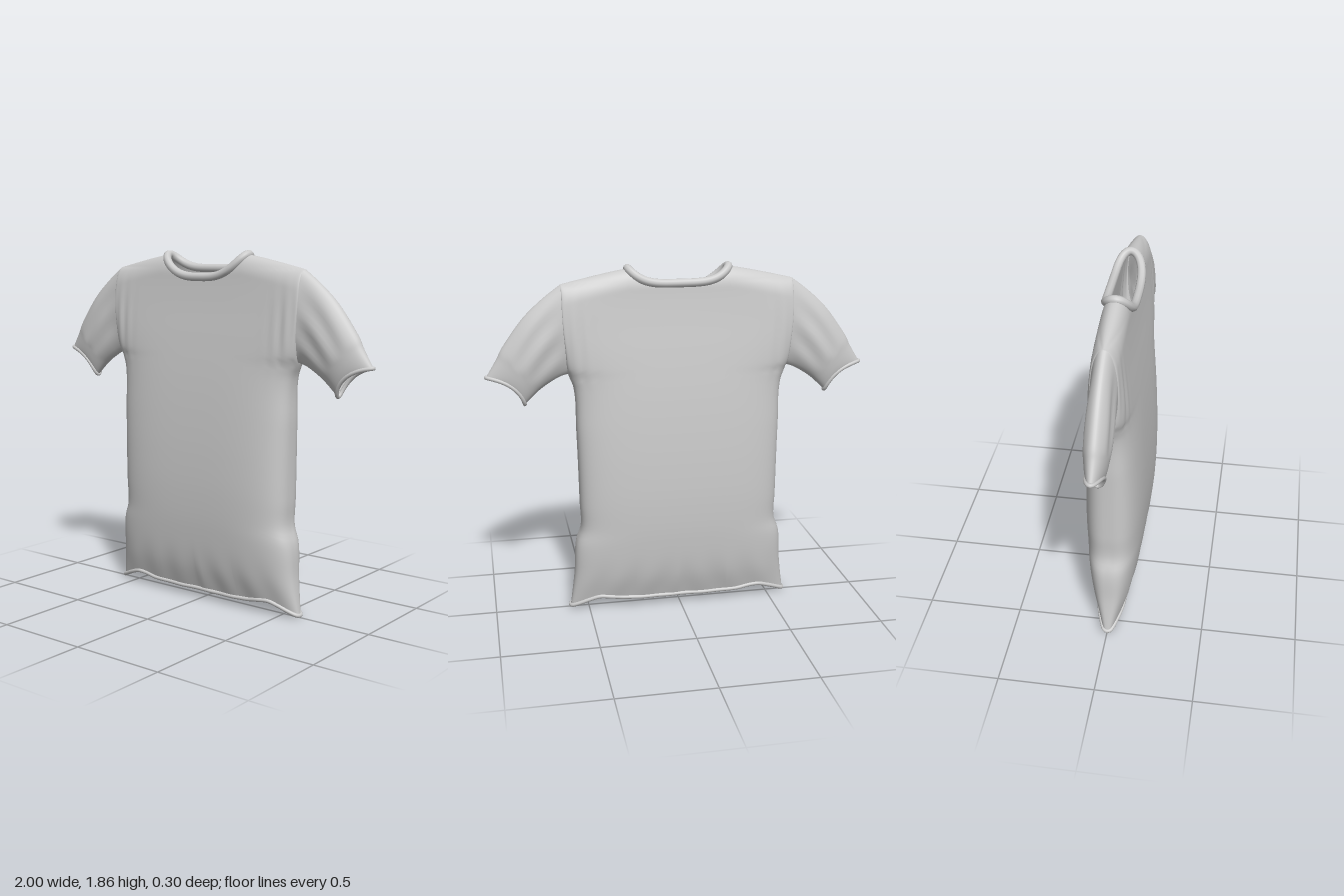
import * as THREE from 'three';
import { mergeGeometries, mergeVertices } from 'three/addons/utils/BufferGeometryUtils.js';

const cloth = new THREE.MeshStandardMaterial({ color: 0xcccccc, roughness: 0.8, side: THREE.DoubleSide });

// Smooth function through [input, output] pairs
function smooth(pairs) {
  const k = new THREE.CubicInterpolant(pairs.map(p => p[0]), pairs.map(p => p[1]), 1);
  return v => k.evaluate(THREE.MathUtils.clamp(v, pairs[0][0], pairs[pairs.length - 1][0]))[0];
}

// Surface from point(i, j), with i across and j along
function grid(point, ni, nj, flip) {
  const pos = [], idx = [];
  for (let j = 0; j <= nj; j++) for (let i = 0; i <= ni; i++) pos.push(...point(i, j));
  for (let j = 0; j < nj; j++) for (let i = 0; i < ni; i++) {
    const a = j * (ni + 1) + i, b = a + 1, c = a + ni + 1, d = c + 1;
    if (flip) idx.push(a, c, b, b, c, d);
    else idx.push(a, b, c, b, d, c);
  }
  const g = new THREE.BufferGeometry();
  g.setAttribute('position', new THREE.Float32BufferAttribute(pos, 3));
  g.setIndex(idx);
  return g;
}

function weld(parts) {
  const g = mergeVertices(mergeGeometries(parts), 1e-4);
  g.computeVertexNormals();
  return g;
}

function addMesh(group, name, geometry) {
  const m = new THREE.Mesh(geometry, cloth);
  m.name = name;
  group.add(m);
}

// Rolled edge following a closed loop of points
function rolledEdge(points, radius) {
  const path = new THREE.CatmullRomCurve3(points.map(p => new THREE.Vector3(...p)), true);
  return new THREE.TubeGeometry(path, 240, radius, 10, true);
}

// Torso measures
const NECK = 0.26, SHOULDER = 0.6, ARMPIT = 1.31, TIP = 1.77, SEAM_DEPTH = 0.065;
const halfWidth = smooth([[0, 0.6], [0.2, 0.572], [0.39, 0.557], [0.46, 0.532], [0.6, 0.533], [1, 0.54],
  [1.24, 0.55], [1.31, 0.575], [1.45, 0.59], [1.6, 0.6], [1.85, 0.6]]);
const depth = smooth([[0, 0.045], [0.06, 0.068], [0.2, 0.112], [0.4, 0.14], [0.6, 0.151], [0.8, 0.15], [1, 0.141],
  [1.2, 0.126], [1.4, 0.105], [1.6, 0.081], [1.74, 0.068], [1.86, 0.064]]);
const hem = smooth([[0, 0.058], [0.3, 0.056], [0.55, 0.062], [0.75, 0.076], [0.88, 0.048], [1, 0.014]]);
const shoulderLine = x => x < NECK ? 1.84 : 1.84 - (1.84 - TIP) * Math.pow((x - NECK) / (SHOULDER - NECK), 1.15);
const neckLine = (x, side) => side > 0
  ? 1.725 + 0.115 * Math.pow(x / NECK, 3)
  : 1.768 + 0.072 * Math.pow(x / NECK, 4);

// Point on the front (side 1) or back (side -1) panel
function torsoPoint(u, t, side) {
  const a = Math.abs(u), xTop = a * SHOULDER;
  const top = xTop < NECK - 1e-6 ? neckLine(xTop, side) : shoulderLine(xTop);
  const bottom = hem(a);
  const y = bottom + (top - bottom) * (1 - Math.pow(1 - t, 1.5));
  // Rounding over the shoulder, and the lens-shaped armhole
  const drop = THREE.MathUtils.clamp((shoulderLine(xTop) - y) / 0.1, 0, 1);
  const round = Math.sqrt(Math.max(0, 1 - (1 - drop) ** 2));
  const w = (y - (TIP + ARMPIT) / 2) / ((TIP - ARMPIT) / 2);
  const armhole = SEAM_DEPTH * Math.sqrt(Math.max(0, 1 - w * w));
  const across = Math.pow(Math.max(0, 1 - a ** 4), 0.35);
  // Soft folds rising from the hem and falling from the armhole
  const folds = across * round * (
    0.003 * Math.sin(u * 21 + y * 6 * Math.sign(u)) * Math.exp(-(((y - 0.12) / 0.12) ** 2)) +
    0.005 * Math.sin(a * 55 + y * 5) * Math.exp(-(((a - 0.9) / 0.12) ** 2) - (((y - 1.48) / 0.16) ** 2)));
  const z = armhole + (depth(y) * round - armhole) * across + folds;
  return [u * halfWidth(y), y, side * z];
}

// Column positions, with one exactly at each neck corner
const columns = [];
const corner = NECK / SHOULDER;
for (let i = 0; i < 24; i++) columns.push(-1 + (1 - corner) * (1 - Math.cos(i / 24 * Math.PI / 2)));
for (let i = 0; i <= 36; i++) columns.push(-corner * Math.cos(i / 36 * Math.PI));
for (let i = 23; i >= 0; i--) columns.push(-columns[i]);

// Sleeve outlines, from the armhole to the cuff
const curve = pts => new THREE.SplineCurve(pts.map(p => new THREE.Vector2(...p)));
const sleeveTop = curve([[0.6, 1.77], [0.7, 1.695], [0.8, 1.6], [0.9, 1.465], [0.935, 1.4], [0.99, 1.31]]);
const sleeveUnder = curve([[0.575, 1.31], [0.63, 1.292], [0.72, 1.235], [0.8, 1.16]]);
const sleeveDepth = smooth([[0, SEAM_DEPTH], [0.15, 0.062], [0.5, 0.064], [0.8, 0.055], [1, 0.04]]);

function sleevePoint(angle, s, mirror) {
  const w = Math.cos(angle), mid = 1 - w * w;
  const p = sleeveUnder.getPoint(s).lerp(sleeveTop.getPoint(s), (1 + w) / 2);
  const pull = mid * s ** 5;
  const folds = 0.006 * Math.sin(w * 9 + s * 4) * mid * Math.sin(Math.PI * Math.min(1, s * 1.4));
  const z = Math.sin(angle) * sleeveDepth(s) + Math.sign(Math.sin(angle)) * folds;
  return [mirror * (p.x - 0.032 * pull), p.y + 0.026 * pull, z];
}

export function createModel() {
  const shirt = new THREE.Group();
  shirt.name = 'shirt';

  // Front and back panels joined at the sides and shoulders
  const last = columns.length - 1, rows = 90;
  const panel = side => grid((i, j) => torsoPoint(columns[i], j / rows, side), last, rows, side < 0);
  addMesh(shirt, 'torso', weld([panel(1), panel(-1)]));

  // Rolled hem around the bottom opening
  const loop = (us, t) => [
    ...us.map(u => torsoPoint(u, t, 1)),
    ...us.slice(1, -1).reverse().map(u => torsoPoint(u, t, -1)),
  ];
  addMesh(shirt, 'hem', rolledEdge(loop(columns.filter((u, i) => i % 3 === 0), 0), 0.011));

  // Thick collar around the neck opening
  const neck = columns.filter((u, i) => Math.abs(u) <= corner + 1e-6 && i % 2 === 0);
  addMesh(shirt, 'collar', rolledEdge(loop(neck, 1), 0.022));

  // Short sleeves with rolled cuffs
  for (const mirror of [1, -1]) {
    const sleeve = new THREE.Group();
    sleeve.name = mirror > 0 ? 'leftSleeve' : 'rightSleeve';
    const n = 48, m = 36;
    const tube = grid((i, j) => sleevePoint(i / n * Math.PI * 2, j / m, mirror), n, m, mirror > 0);
    addMesh(sleeve, 'sleeveCloth', weld([tube]));
    const edge = Array.from({ length: 24 }, (_, i) => sleevePoint(i / 24 * Math.PI * 2, 1, mirror));
    addMesh(sleeve, 'cuff', rolledEdge(edge, 0.01));
    shirt.add(sleeve);
  }
  return shirt;
}
